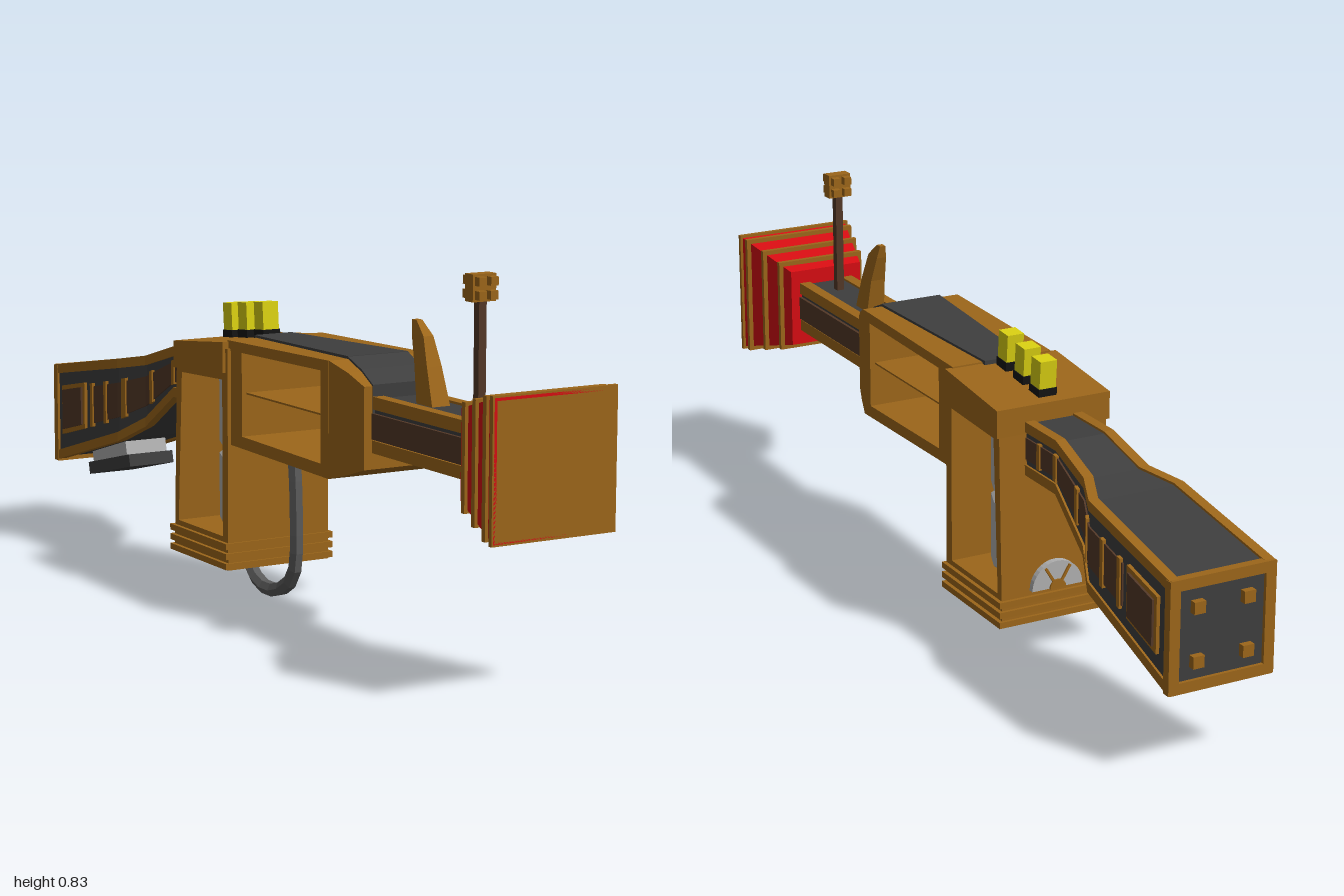
import * as THREE from 'three';

const mat = (color) => new THREE.MeshStandardMaterial({ color, flatShading: true, side: THREE.DoubleSide });
const gold = mat(0x9c661a), dark = mat(0x3e3e3e), brown = mat(0x533827), red = mat(0xd60d12);
const yellow = mat(0xd9d012), black = mat(0x141414), steel = mat(0x5a5a5a), silver = mat(0xb0b0b0);

// Skin a row of cross-sections, capped at both ends, facing outward
function loft(sections) {
  const tris = [], n = sections[0].length, last = sections.length - 1;
  for (let i = 0; i < last; i++) for (let j = 0; j < n; j++) {
    const k = (j + 1) % n, a = sections[i], b = sections[i + 1];
    tris.push([a[j], a[k], b[k]], [a[j], b[k], b[j]]);
  }
  for (let j = 1; j < n - 1; j++) {
    const a = sections[0], b = sections[last];
    tris.push([a[0], a[j + 1], a[j]], [b[0], b[j], b[j + 1]]);
  }
  const V = (p) => new THREE.Vector3(...p);
  const volume = tris.reduce((s, [a, b, c]) => s + V(a).dot(V(b).cross(V(c))), 0);
  if (volume < 0) tris.forEach((t) => t.reverse());
  const g = new THREE.BufferGeometry();
  g.setAttribute('position', new THREE.Float32BufferAttribute(tris.flat(2), 3));
  g.computeVertexNormals();
  return g;
}

// Rectangle at depth z spanning x0..x1 and y0..y1
const rect = (z, x0, x1, y0, y1) => [[x0, y0, z], [x1, y0, z], [x1, y1, z], [x0, y1, z]];
// Sections are [z, half width, bottom, top]
const body = (secs) => loft(secs.map(([z, w, a, b]) => rect(z, -w, w, a, b)));

// Outline in (z, y) pushed through along x, with optional window
function sidePlate(outline, width, hole) {
  const pts = (l) => l.map(([z, y]) => new THREE.Vector2(z, y));
  const s = new THREE.Shape(pts(outline));
  if (hole) s.holes.push(new THREE.Path(pts(hole)));
  return new THREE.ExtrudeGeometry(s, { depth: width, bevelEnabled: false })
    .rotateY(-Math.PI / 2).translate(width / 2, 0, 0);
}

export function createModel() {
  const root = new THREE.Group();
  const add = (name, geo, m, x = 0, y = 0, z = 0, parent = root) => {
    const mesh = new THREE.Mesh(geo, m);
    mesh.name = name;
    mesh.position.set(x, y, z);
    parent.add(mesh);
    return mesh;
  };
  const box = (name, m, w, h, d, x, y, z, parent) => add(name, new THREE.BoxGeometry(w, h, d), m, x, y, z, parent);

  // Gold rails along the four long corners of a body
  const rails = (name, secs, t = 0.022, e = 0.005) => {
    for (const s of [-1, 1]) for (const up of [0, 1])
      add(name, loft(secs.map(([z, w, a, b]) => {
        const y0 = up ? b - t : a - e, y1 = up ? b + e : a + t;
        return s > 0 ? rect(z, w - t, w + e, y0, y1) : rect(z, -w - e, -w + t, y0, y1);
      })), gold);
  };

  // Flared square muzzle: outer wall, rim, recessed inner walls and floor
  const cy = 0.483;
  const sq = (z, h) => rect(z, -h, h, cy - h, cy + h);
  add('muzzle', loft([sq(0.81, 0.093), sq(1, 0.143), sq(1, 0.137), sq(0.975, 0.122), sq(0.87, 0.08)]), red);
  for (const z of [0.845, 0.905, 0.965]) {
    const h = 0.093 + (z - 0.81) * 0.263;
    add('muzzleBand', loft([sq(z - 0.006, h - 0.006), sq(z - 0.006, h + 0.009),
      sq(z + 0.006, h + 0.009), sq(z + 0.006, h - 0.006)]), gold);
  }
  add('muzzleRim', loft([sq(0.99, 0.138), sq(0.99, 0.147), sq(1, 0.147), sq(1, 0.14)]), gold);

  // Barrel
  const barrel = [[0.42, 0.065, 0.43, 0.54], [0.83, 0.065, 0.43, 0.54]];
  add('barrel', body(barrel), dark);
  rails('barrelRail', barrel);
  for (const s of [-1, 1]) box('barrelStrip', brown, 0.012, 0.055, 0.38, s * 0.066, 0.482, 0.625);

  // Front sight post with studded head, and curved horn behind it
  box('sightPost', brown, 0.018, 0.25, 0.018, 0, 0.66, 0.735);
  box('sightHead', gold, 0.056, 0.056, 0.028, 0, 0.802, 0.735);
  for (const sx of [-1, 1]) for (const sy of [-1, 1])
    box('sightStud', gold, 0.018, 0.018, 0.06, sx * 0.014, 0.802 + sy * 0.014, 0.735);
  const horn = (y, z0, z1, w) => [[-w, y, z0], [w, y, z0], [w, y, z1], [-w, y, z1]];
  add('horn', loft([horn(0.54, 0.595, 0.535, 0.022), horn(0.62, 0.568, 0.52, 0.018),
    horn(0.68, 0.545, 0.5, 0.012), horn(0.71, 0.51, 0.493, 0.007)]), gold);

  // Stepped collar between barrel and housing
  add('collar', body([[0.44, 0.09, 0.39, 0.567], [0.4, 0.105, 0.375, 0.592], [0.35, 0.122, 0.36, 0.613]]), gold);
  add('collarTop', loft([rect(0.442, -0.07, 0.07, 0.5, 0.57), rect(0.4, -0.072, 0.072, 0.5, 0.597),
    rect(0.35, -0.075, 0.075, 0.5, 0.618)]), dark);
  box('collarRib', gold, 0.2, 0.19, 0.012, 0, 0.482, 0.4);

  // Open-sided housing with a shelf
  add('housing', sidePlate([[0.35, 0.36], [0.35, 0.613], [-0.09, 0.603], [-0.09, 0.368]], 0.245,
    [[0.317, 0.388], [-0.025, 0.394], [-0.025, 0.582], [0.317, 0.588]]), gold);
  add('housingShelf', new THREE.BoxGeometry(0.22, 0.004, 0.345), gold, 0, 0.49, 0.146);
  add('housingTop', loft([rect(0.35, -0.075, 0.075, 0.59, 0.619), rect(-0.1, -0.048, 0.048, 0.58, 0.608)]), dark);

  // Magazine with a window right through it
  add('magazine', sidePlate([[-0.075, 0.08], [-0.075, 0.585], [-0.315, 0.565], [-0.332, 0.08]], 0.262,
    [[-0.1, 0.155], [-0.312, 0.155], [-0.292, 0.505], [-0.1, 0.513]]), gold);
  add('magazineLid', sidePlate([[-0.085, 0.53], [-0.085, 0.6], [-0.32, 0.575], [-0.32, 0.513]], 0.276), gold);
  for (const y of [0.09, 0.113, 0.136]) box('magazineRidge', gold, 0.28, 0.014, 0.268, 0, y, -0.204);

  // Two stacked canisters
  for (const y of [0.242, 0.42]) {
    add('canister', new THREE.CylinderGeometry(0.078, 0.078, 0.15, 8), silver, 0, y, -0.197);
    for (const s of [-1, 1])
      add('canisterEnd', new THREE.CylinderGeometry(s > 0 ? 0.06 : 0.078, s > 0 ? 0.078 : 0.06, 0.014, 8),
        silver, 0, y + s * 0.082, -0.197);
  }

  // Half-round gauge on the rear wall
  const half = (r, d) => new THREE.ExtrudeGeometry(new THREE.Shape().absarc(0, 0, r, 0, Math.PI),
    { depth: d, bevelEnabled: false, curveSegments: 8 });
  add('gauge', half(0.062, 0.016), silver, 0, 0.155, -0.342);
  add('gaugeHub', half(0.02, 0.02), gold, 0, 0.155, -0.346);
  for (const a of [-0.55, 0.55]) {
    const spoke = box('gaugeSpoke', gold, 0.006, 0.055, 0.008, -Math.sin(a) * 0.03, 0.155 + Math.cos(a) * 0.03, -0.342);
    spoke.rotation.z = a;
  }

  // Three signal lamps along the sloping lid
  [-0.125, -0.2, -0.27].forEach((z, i) => {
    const lamp = new THREE.Group();
    lamp.name = 'lamp';
    lamp.position.set(0, 0.585 - i * 0.009, z);
    lamp.rotation.x = -0.08;
    root.add(lamp);
    box('lampBase', black, 0.044, 0.05, 0.044, 0, 0.005, 0, lamp);
    box('lampLight', yellow, 0.04, 0.065, 0.04, 0, 0.06, 0, lamp);
  });

  // Hose from housing to magazine floor
  const hose = new THREE.CurvePath();
  const path = [[0.005, 0.37], [0.016, 0.24], [0.006, 0.075], [-0.045, 0.032], [-0.105, 0.018], [-0.155, 0.028], [-0.195, 0.06], [-0.2, 0.1]]
    .map(([z, y]) => new THREE.Vector3(-0.007, y, z));
  for (let i = 1; i < path.length; i++) hose.add(new THREE.LineCurve3(path[i - 1], path[i]));
  const bend = new THREE.CatmullRomCurve3(path, false, 'centripetal');
  add('hose', new THREE.TubeGeometry(bend, 14, 0.017, 6), steel);
  box('hoseSocket', black, 0.05, 0.035, 0.05, -0.007, 0.352, 0.005);

  // Bent, widening stock
  const stock = [[-0.3, 0.065, 0.425, 0.535], [-0.45, 0.065, 0.425, 0.535], [-0.58, 0.073, 0.335, 0.497],
    [-0.66, 0.108, 0.29, 0.482], [-0.985, 0.117, 0.195, 0.427]];
  add('stock', body(stock), dark);
  rails('stockRail', stock, 0.018);
  const at = (z) => {
    const i = Math.max(1, stock.findIndex((s) => s[0] <= z)), a = stock[i - 1], b = stock[i];
    const t = (z - a[0]) / (b[0] - a[0]);
    return a.map((v, k) => v + (b[k] - v) * t);
  };
  // Raised panel lying on one stock side, between two height fractions
  const sidePanel = (name, m, zs, f0, f1, out) => {
    for (const s of [-1, 1]) add(name, loft(zs.map((z) => {
      const [, w, a, b] = at(z), h = b - a;
      return rect(z, s * (w - 0.01), s * (w + out), a + h * f0, a + h * f1);
    })), m);
  };
  sidePanel('stockStrip', brown, [-0.32, -0.45, -0.58, -0.66, -0.8], 0.28, 0.72, 0.004);
  for (const z of [-0.38, -0.45, -0.55, -0.64, -0.72, -0.79])
    sidePanel('stockStripBand', gold, [z - 0.006, z + 0.006], 0.24, 0.76, 0.008);
  sidePanel('stockPlateFrame', gold, [-0.825, -0.945], 0.24, 0.78, 0.008);
  sidePanel('stockPlate', brown, [-0.835, -0.935], 0.29, 0.73, 0.013);

  // Butt: gold frame, dark panel, four studs
  for (const s of [-1, 1]) {
    box('buttFrameSide', gold, 0.024, 0.242, 0.02, s * 0.111, 0.31, -0.983);
    box('buttFrameBar', gold, 0.24, 0.024, 0.02, 0, 0.31 + s * 0.11, -0.983);
    for (const v of [-1, 1]) box('buttStud', gold, 0.026, 0.026, 0.02, s * 0.058, 0.31 + v * 0.058, -0.99);
  }

  // Pack slung beneath the stock
  const pack = new THREE.Group();
  pack.name = 'underPack';
  pack.position.set(0, 0.222, -0.82);
  pack.rotation.x = -0.24;
  root.add(pack);
  box('packBody', silver, 0.11, 0.07, 0.19, 0, 0.01, 0, pack);
  box('packBase', dark, 0.12, 0.03, 0.23, 0, -0.024, 0, pack);

  // Trigger
  add('trigger', sidePlate([[-0.43, 0.335], [-0.445, 0.332], [-0.535, 0.385], [-0.53, 0.42], [-0.46, 0.43], [-0.475, 0.39]], 0.03), gold);
  return root;
}
